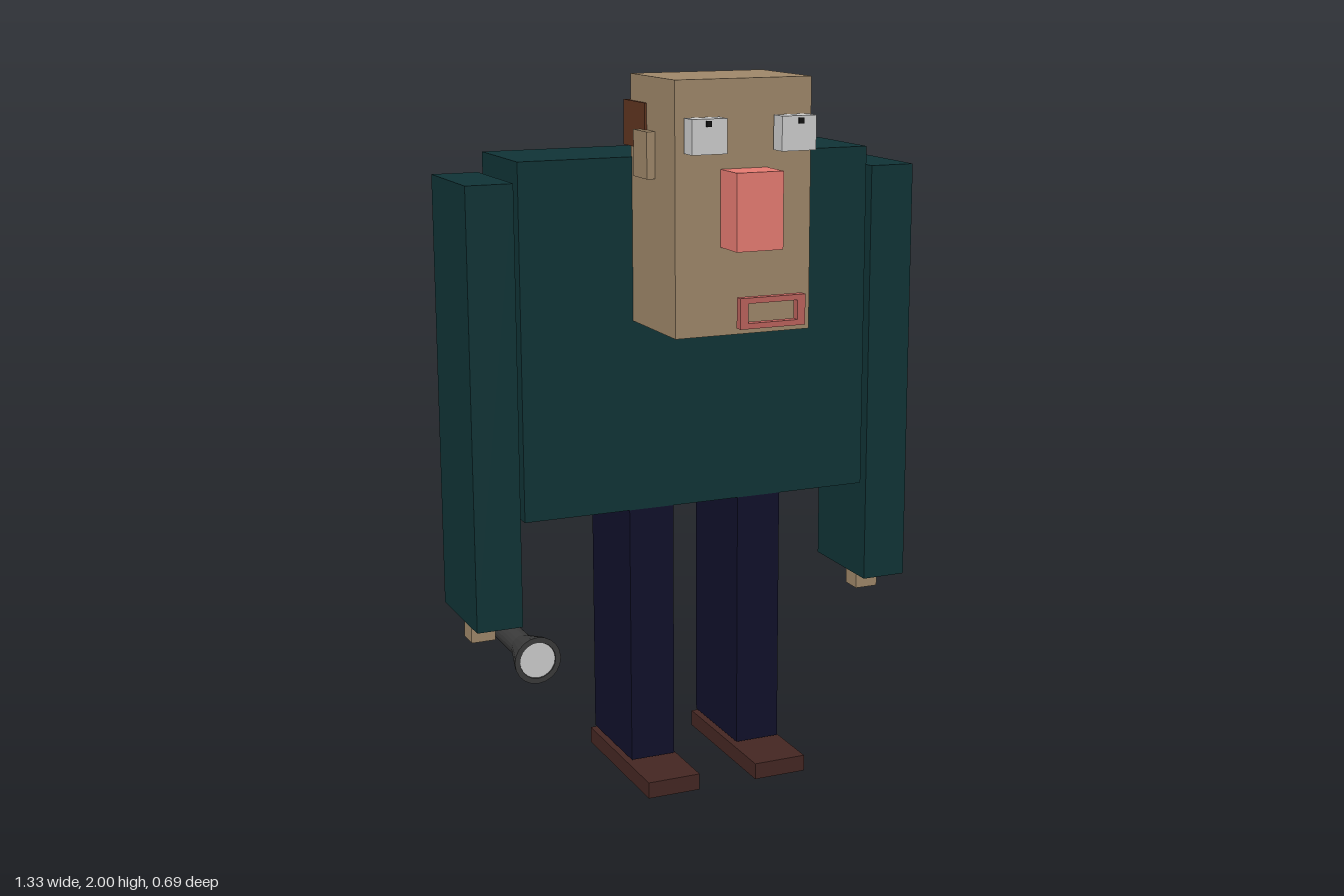
import * as THREE from 'three';

const material = (color) => new THREE.MeshStandardMaterial({ color, flatShading: true });
const skin = material(0x9e8769);
const coat = material(0x103336);
const trousers = material(0x10102a);
const leather = material(0x442622);
const hairBrown = material(0x5f3420);
const noseRed = material(0xe67b72);
const lipRed = material(0xbb625c);
const grey = material(0xcccccc);
const black = material(0x101010);
const darkMetal = material(0x3a3a3a);

export function createModel() {
  const model = new THREE.Group();
  model.name = 'blockyMan';

  const add = (name, geometry, mat, x = 0, y = 0, z = 0, parent = model) => {
    const mesh = new THREE.Mesh(geometry, mat);
    mesh.name = name;
    mesh.position.set(x, y, z);
    parent.add(mesh);
    return mesh;
  };
  // Box given by its extents on each axis
  const box = (name, mat, [x0, x1], [y0, y1], [z0, z1], parent = model) =>
    add(name, new THREE.BoxGeometry(x1 - x0, y1 - y0, z1 - z0), mat,
      (x0 + x1) / 2, (y0 + y1) / 2, (z0 + z1) / 2, parent);

  // Body
  box('torso', coat, [-0.52, 0.515], [0.8, 1.78], [-0.34, -0.045]);

  // Limbs: each pair is listed by its centre
  for (const [side, arm, leg, eye] of [['right', -0.6, -0.146, -0.127], ['left', 0.596, 0.185, 0.126]]) {
    const hand = side === 'right' ? -0.61 : 0.605;
    box(side + 'Arm', coat, [arm - 0.066, arm + 0.066], [0.505, 1.725], [-0.337, -0.039]);
    box(side + 'Hand', skin, [hand - 0.035, hand + 0.035], [0.435, 0.505], [-0.225, -0.16]);
    box(side + 'Leg', trousers, [leg - 0.066, leg + 0.066], [0.055, 0.8], [-0.338, -0.046]);
    box(side + 'Shoe', leather, [leg - 0.078, leg + 0.078], [0, 0.047], [-0.346, 0.108]);
    // Eye floating just ahead of the face
    box(side + 'Eye', grey, [eye - 0.049, eye + 0.049], [1.815, 1.905], [0.256, 0.306]);
    const pupil = Math.sign(eye) * 0.13;
    box(side + 'Pupil', black, [pupil - 0.007, pupil + 0.007], [1.885, 1.9], [0.3, 0.312]);
  }

  // Head
  box('head', skin, [-0.197, 0.19], [1.335, 2], [-0.05, 0.246]);
  box('rightEar', skin, [-0.22, -0.19], [1.737, 1.86], [0.023, 0.115]);
  box('leftEar', skin, [0.185, 0.217], [1.737, 1.86], [0.023, 0.115]);
  box('hair', hairBrown, [-0.203, 0.197], [1.81, 1.93], [-0.087, 0.061]);
  box('nose', noseRed, [-0.069, 0.063], [1.568, 1.77], [0.244, 0.346]);

  // Mouth: a rectangular ring
  const rectangle = (Type, x, y) => new Type([
    new THREE.Vector2(-x, -y), new THREE.Vector2(x, -y),
    new THREE.Vector2(x, y), new THREE.Vector2(-x, y),
  ]);
  const lips = rectangle(THREE.Shape, 0.094, 0.041);
  lips.holes.push(rectangle(THREE.Path, 0.071, 0.026));
  add('mouth', new THREE.ExtrudeGeometry(lips, { depth: 0.023, bevelEnabled: false }),
    lipRed, 0.056, 1.399, 0.281);

  // Torch: turned profile along z, with a recessed lens
  const torch = new THREE.Group();
  torch.name = 'torch';
  torch.position.set(-0.532, 0.445, 0);
  torch.rotation.x = Math.PI / 2;
  model.add(torch);
  const profile = [[0, -0.222], [0.033, -0.222], [0.034, -0.05], [0.064, 0.06], [0.066, 0.074], [0.051, 0.074], [0.049, 0.066]]
    .map(([r, z]) => new THREE.Vector2(r, z));
  add('torchBody', new THREE.LatheGeometry(profile, 20), darkMetal, 0, 0, 0, torch);
  add('torchLens', new THREE.CylinderGeometry(0.05, 0.05, 0.01, 20), grey, 0, 0.066, 0, torch);

  return model;
}
